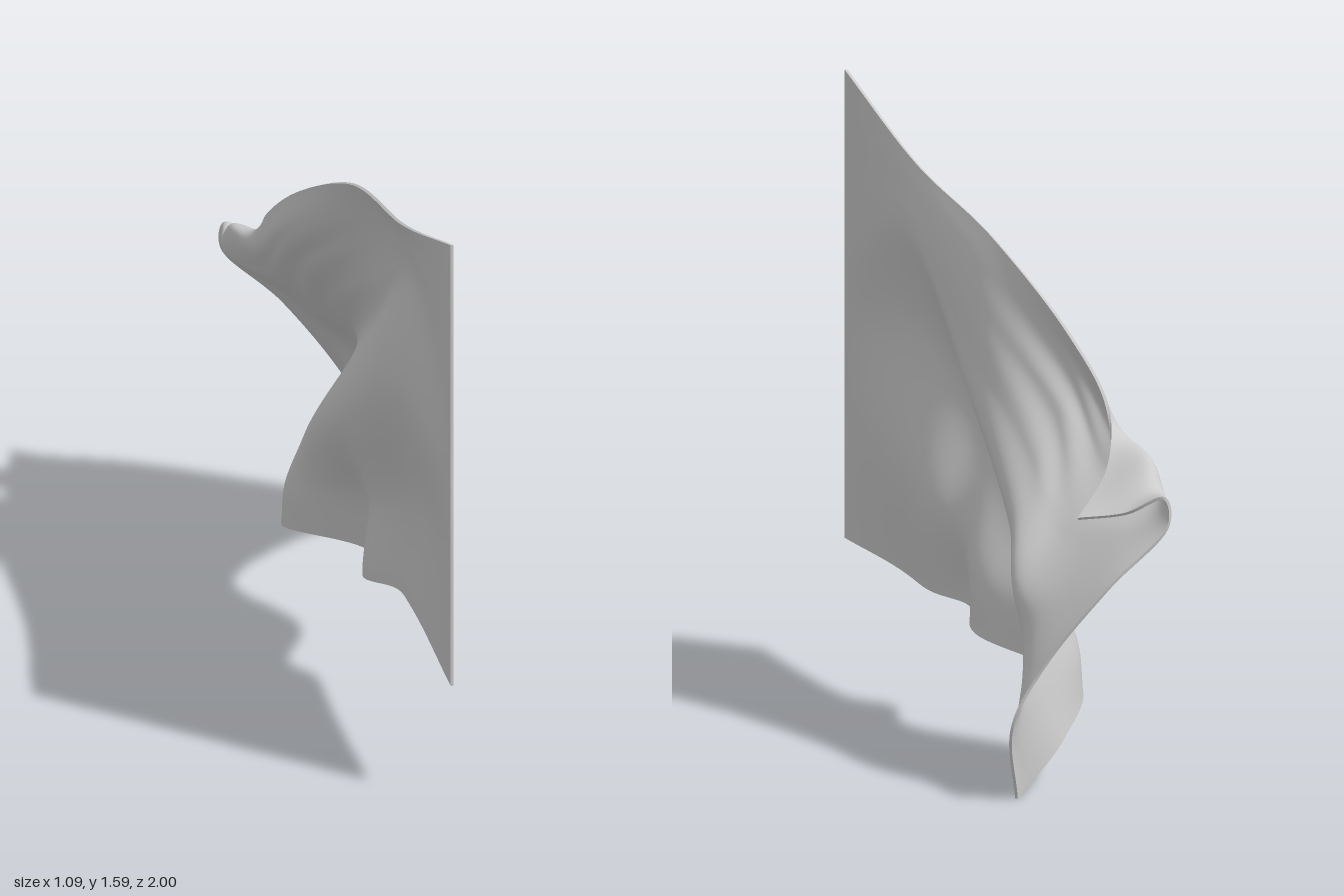
import * as THREE from 'three';

// Cross-sections of the cloth: depth z, then [x, y] or [x, y, z] where the feature lines pass:
// bottom hem, lower belly, valley, ridge, upper slope, shoulder, crest, top hem.
const sections = [
  [.5, [-.29, .33], [-.27, .62], [-.35, .98], [-.285, 1.25], [-.285, 1.3], [-.295, 1.35], [-.305, 1.39], [-.32, 1.43]],
  [0, [-.05, .27], [-.07, .42], [-.18, .68], [-.02, .93], [-.03, 1.04], [-.05, 1.15], [-.08, 1.25], [-.11, 1.33]],
  [-.4, [-.03, .2], [-.02, .32], [.05, .45], [.22, .67], [.13, .82], [.03, .95], [-.02, 1.05], [0, 1.14]],
  [-.6, [.22, .11], [.29, .25], [.36, .4], [.38, .52], [.23, .68], [.08, .83], [.03, .92], [.06, .99]],
  [-.72, [.42, .03, -.68], [.5, .2], [.46, .36], [.38, .52, -.78], [.25, .7, -.84],
    [.13, .8, -.87], [.14, .87, -.85], [.2, .85, -.745]],
  [-.8, [.5, .002, -.71], [.54, .2, -.735], [.48, .37], [.36, .58, -.92], [.22, .74, -1],
    [.225, .81, -.99], [.28, .765, -.9], [.35, .745, -.79]],
];

const LINES = 8, NU = 144, NV = 98, HALF = .004;
const at = (i, j) => i * (NV + 1) + j;
const bell = (t, width) => Math.exp(-((t / width) ** 2));

// Run each feature line from the straight hoist edge to the free end, then skin across the lines.
function clothPoints() {
  const lines = Array.from({ length: LINES }, (_, k) => {
    const hoist = new THREE.Vector3(-.54, .33 + 1.26 * (k / (LINES - 1)) ** .6, 1);
    const rest = sections.map(([z, ...pts]) => {
      const [x, y, ownZ = z] = pts[k];
      return new THREE.Vector3(x, y, ownZ);
    });
    return new THREE.CatmullRomCurve3([hoist, ...rest]);
  });
  const points = [];
  for (let i = 0; i <= NU; i++) {
    const u = i / NU;
    const across = new THREE.CatmullRomCurve3(lines.map((line) => line.getPoint(u)));
    for (let j = 0; j <= NV; j++) {
      const v = j / NV, p = across.getPoint(v);
      // pleat rising from the bottom hem
      p.x -= .09 * bell(p.z - .2, .11) * bell(v, .2);
      // fine wrinkles above the large diagonal ridge
      p.x += .006 * bell(u - .55, .12) * bell(v - .7, .14) * Math.sin(48 * v + 22 * u);
      points.push(p);
    }
  }
  return points;
}

function gridGeometry(points, flip) {
  const index = [];
  for (let i = 0; i < NU; i++) for (let j = 0; j < NV; j++) {
    const a = at(i, j), b = at(i + 1, j), c = at(i + 1, j + 1), d = at(i, j + 1);
    index.push(...(flip ? [a, c, b, a, d, c] : [a, b, c, a, c, d]));
  }
  const g = new THREE.BufferGeometry().setFromPoints(points);
  g.setIndex(index);
  g.computeVertexNormals();
  return g;
}

// Narrow strip closing the two cloth faces around the outline.
function rimGeometry(front, back) {
  const loop = [];
  for (let i = 0; i < NU; i++) loop.push(at(i, 0));
  for (let j = 0; j < NV; j++) loop.push(at(NU, j));
  for (let i = NU; i > 0; i--) loop.push(at(i, NV));
  for (let j = NV; j > 0; j--) loop.push(at(0, j));
  const pts = [];
  loop.forEach((a, k) => {
    const b = loop[(k + 1) % loop.length];
    pts.push(front[a], back[a], back[b], front[a], back[b], front[b]);
  });
  const g = new THREE.BufferGeometry().setFromPoints(pts);
  g.computeVertexNormals();
  return g;
}

export function createModel() {
  const group = new THREE.Group();
  group.name = 'flag';
  const material = new THREE.MeshStandardMaterial({ color: 0xcccccc, side: THREE.DoubleSide });
  const add = (name, geometry) => {
    const mesh = new THREE.Mesh(geometry, material);
    mesh.name = name;
    group.add(mesh);
  };

  // Offset the middle sheet to both sides for a thin cloth.
  const middle = clothPoints();
  const normals = gridGeometry(middle, false).getAttribute('normal');
  const offset = (d) => middle.map((p, k) =>
    new THREE.Vector3().fromBufferAttribute(normals, k).multiplyScalar(d).add(p));
  const front = offset(HALF), back = offset(-HALF);
  add('clothFront', gridGeometry(front, false));
  add('clothBack', gridGeometry(back, true));
  add('clothHem', rimGeometry(front, back));
  return group;
}
